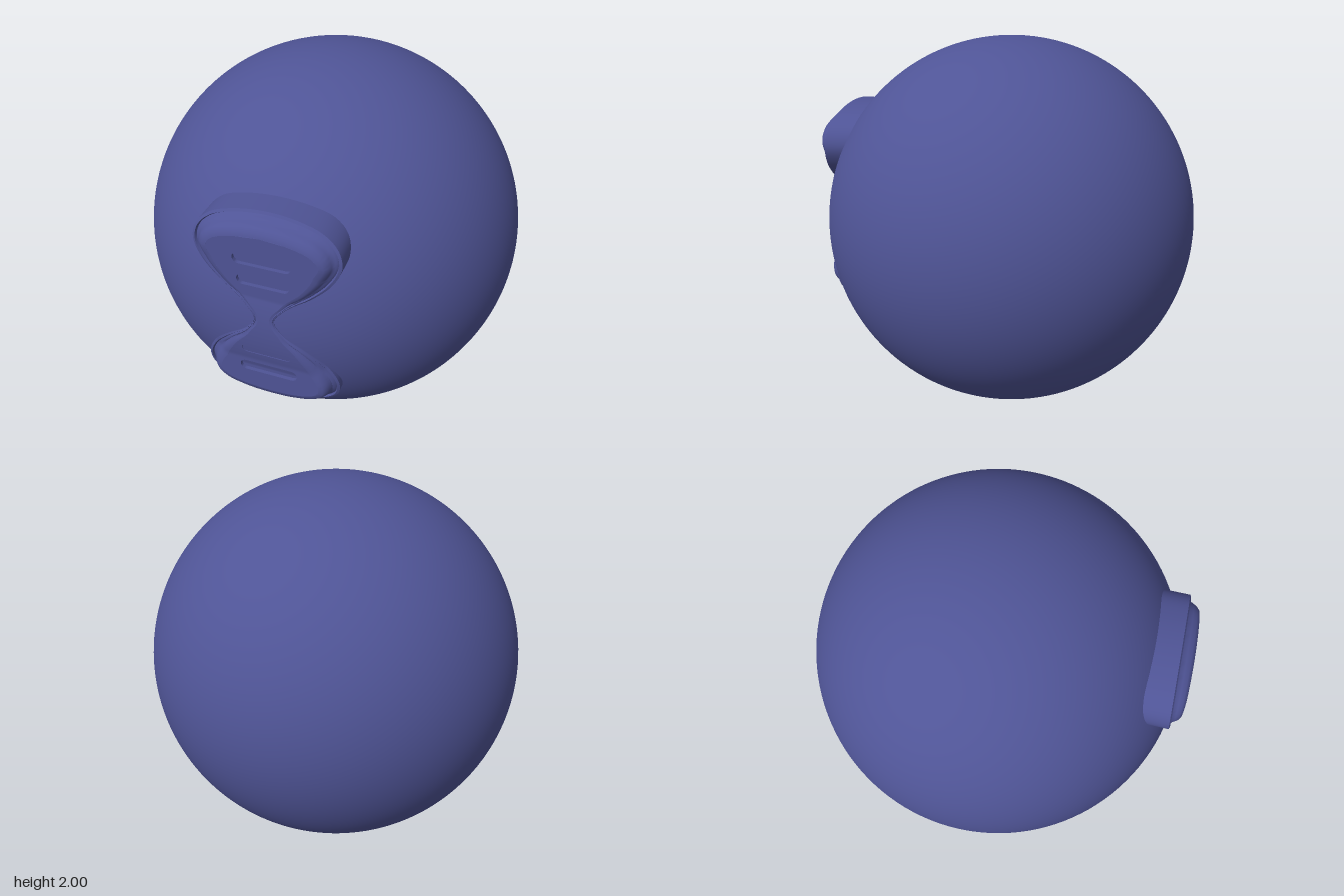
import * as THREE from 'three';
import { mergeVertices, toCreasedNormals } from 'three/addons/utils/BufferGeometryUtils.js';

const WAIST = 1.09;
const ballZ = (x, y) => Math.sqrt(Math.max(0, 1 - x * x - (y - 1) ** 2));
// Height rules: outer rim drops away from the waist, the cushion stays nearly flat
const rimZ = (y) => 0.985 - 0.085 * Math.abs(y - WAIST) / 0.55;
const capZ = (y) => Math.max(0.985, ballZ(0, y) + 0.005);

// Right half of the hourglass outline, top to bottom
const HALF = [[0, 1.63], [0.15, 1.615], [0.27, 1.575], [0.337, 1.51], [0.355, 1.43], [0.315, 1.34],
  [0.22, 1.245], [0.1, 1.16], [0.05, 1.09], [0.09, 1.02], [0.2, 0.93], [0.3, 0.82], [0.343, 0.72],
  [0.33, 0.63], [0.26, 0.565], [0.14, 0.53], [0, 0.52]];

// Slots: centre height, half length, half thickness
const SLOTS = [[1.412, 0.14, 0.03], [1.295, 0.127, 0.028], [0.88, 0.125, 0.027], [0.75, 0.147, 0.03]];

function outlinePoints() {
  const left = HALF.slice(1, -1).reverse().map(([x, y]) => [-x, y]);
  const pts = [...HALF, ...left].map(([x, y]) => new THREE.Vector3(x, y, 0));
  return new THREE.CatmullRomCurve3(pts, true, 'centripetal').getPoints(192).slice(0, -1);
}

// Outline moved inwards, less so around the narrow waist
function inset(loop, d) {
  const n = loop.length;
  return loop.map((p, i) => {
    const a = loop[(i + n - 1) % n], b = loop[(i + 1) % n];
    const dx = b.x - a.x, dy = b.y - a.y, len = Math.hypot(dx, dy);
    const k = d * Math.min(1, Math.max(0.25, Math.abs(p.y - WAIST) / 0.25));
    return new THREE.Vector3(p.x + dy / len * k, p.y - dx / len * k, 0);
  });
}

function finish(positions, angle) {
  const g = new THREE.BufferGeometry();
  g.setAttribute('position', new THREE.Float32BufferAttribute(positions, 3));
  return toCreasedNormals(mergeVertices(g, 1e-5), angle);
}

function quad(out, a, b, c, d) {
  for (const p of [a, b, c, a, c, d]) out.push(...p);
}

// Stepped rim, groove and rounded shoulder: [inset, blend from rim to cushion, lift]
function rimGeometry(loop) {
  const steps = [[0, 0, 0], [0.012, 0, 0.006], [0.018, 0, -0.005], [0.027, 0, 0.005], [0.035, 0.06, 0.006],
    [0.042, 0.4, 0], [0.052, 0.7, 0], [0.068, 0.92, 0], [0.09, 1, 0]];
  const rings = [loop.map((p) => [p.x, p.y, ballZ(p.x, p.y) - 0.02])];
  for (const [d, t, lift] of steps) {
    rings.push(inset(loop, d).map((p) => {
      const z = THREE.MathUtils.lerp(rimZ(p.y), capZ(p.y), t) + lift;
      return [p.x, p.y, t === 1 ? z : Math.max(z, ballZ(p.x, p.y) + 0.003 + lift * 0.4)];
    }));
  }
  const out = [], n = loop.length;
  for (let r = 0; r < rings.length - 1; r++) {
    for (let i = 0; i < n; i++) {
      const j = (i + 1) % n;
      quad(out, rings[r][i], rings[r + 1][i], rings[r + 1][j], rings[r][j]);
    }
  }
  return finish(out, 0.6);
}

// Cushion face laid in rows, with the slots left open and sunk
function cushionGeometries(edge) {
  const half = edge.slice(0, edge.length / 2 + 1);
  const ys = edge.map((p) => p.y), top = Math.max(...ys), bottom = Math.min(...ys);
  const width = (y) => {
    let w = 0;
    for (let i = 0; i < half.length - 1; i++) {
      const a = half[i], b = half[i + 1];
      if ((a.y - y) * (b.y - y) <= 0 && a.y !== b.y) {
        w = Math.max(w, a.x + (b.x - a.x) * (y - a.y) / (b.y - a.y));
      }
    }
    return w;
  };
  const rows = [];
  for (let i = 0; i <= 90; i++) rows.push(bottom + (top - bottom) * i / 90);
  for (const [yc, , r] of SLOTS) {
    for (let i = 0; i <= 12; i++) rows.push(yc - r * Math.cos(Math.PI * i / 12));
  }
  rows.sort((a, b) => b - a);

  const face = [], sunk = [];
  const at = (x, y) => [x, y, capZ(y)];
  const low = (x, y) => [x, y, Math.max(capZ(y) - 0.018, ballZ(0, y) + 0.001)];
  for (let i = 0; i < rows.length - 1; i++) {
    const y0 = rows[i], y1 = rows[i + 1];
    if (y0 - y1 < 1e-6) continue;
    const w0 = width(y0), w1 = width(y1);
    const slot = SLOTS.find(([yc, , r]) => Math.abs((y0 + y1) / 2 - yc) < r);
    if (!slot) {
      quad(face, at(-w0, y0), at(-w1, y1), at(w1, y1), at(w0, y0));
      continue;
    }
    const [yc, l, r] = slot;
    const reach = (y) => l - r + Math.sqrt(Math.max(0, r * r - (y - yc) ** 2));
    const h0 = reach(y0), h1 = reach(y1);
    quad(face, at(-w0, y0), at(-w1, y1), at(-h1, y1), at(-h0, y0));
    quad(face, at(h0, y0), at(h1, y1), at(w1, y1), at(w0, y0));
    quad(sunk, low(-h0, y0), low(-h1, y1), low(h1, y1), low(h0, y0));
    quad(sunk, at(-h0, y0), at(-h1, y1), low(-h1, y1), low(-h0, y0));
    quad(sunk, at(h0, y0), low(h0, y0), low(h1, y1), at(h1, y1));
  }
  // Straight upper and lower walls of each slot
  for (const [yc, l, r] of SLOTS) {
    const h = l - r, a = yc + r, b = yc - r;
    quad(sunk, at(-h, a), low(-h, a), low(h, a), at(h, a));
    quad(sunk, at(-h, b), at(h, b), low(h, b), low(-h, b));
  }
  return [finish(face, 0.6), finish(sunk, 0.6)];
}

export function createModel() {
  const group = new THREE.Group();
  group.name = 'ballWithHourglassPanel';
  const indigo = new THREE.MeshStandardMaterial({ color: 0x4f5496, side: THREE.DoubleSide });
  indigo.name = 'indigo';
  const add = (name, geometry) => {
    const mesh = new THREE.Mesh(geometry, indigo);
    mesh.name = name;
    group.add(mesh);
    return mesh;
  };

  add('ball', new THREE.SphereGeometry(1, 128, 96)).position.y = 1;

  const loop = outlinePoints();
  add('hourglassRim', rimGeometry(loop));
  const [face, sunk] = cushionGeometries(inset(loop, 0.09));
  add('hourglassCushion', face);
  add('slots', sunk);
  return group;
}
